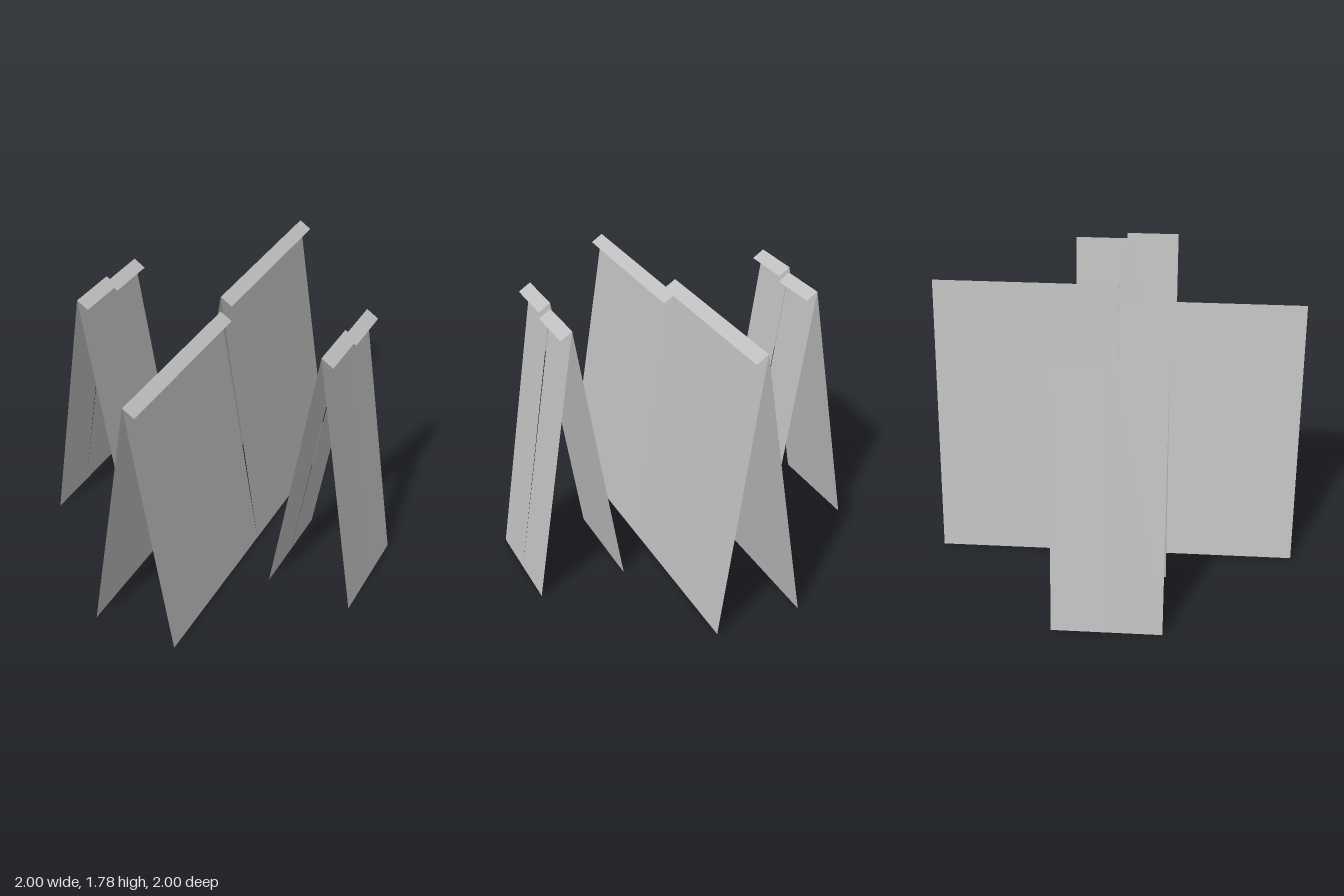
import * as THREE from 'three';

const HALF_SPREAD = 0.277; // foot distance from the ridge line
const FLAP_OUT = 0.073;
const FLAP_DROP = 0.047;

// Flat sheet spanning x0..x1 between an upper edge and a lower edge, each given as [y, z]
function sheet(name, material, x0, x1, [yTop, zTop], [yLow, zLow]) {
  const geometry = new THREE.BufferGeometry();
  geometry.setAttribute('position', new THREE.Float32BufferAttribute([
    x0, yLow, zLow, x1, yLow, zLow, x1, yTop, zTop, x0, yTop, zTop,
  ], 3));
  // Wind each sheet so that its front looks away from the ridge
  geometry.setIndex(zLow > zTop ? [0, 1, 2, 0, 2, 3] : [0, 2, 1, 0, 3, 2]);
  geometry.computeVertexNormals();
  const mesh = new THREE.Mesh(geometry, material);
  mesh.name = name;
  return mesh;
}

// One folded section: two leaning panels and a short flap hanging from the ridge
function foldedSection(name, material, x0, x1, height) {
  const section = new THREE.Group();
  section.name = name;
  const ridge = [height, 0];
  section.add(
    sheet('frontPanel', material, x0, x1, ridge, [0, HALF_SPREAD]),
    sheet('backPanel', material, x0, x1, ridge, [0, -HALF_SPREAD]),
    sheet('ridgeFlap', material, x0, x1, ridge, [height - FLAP_DROP, FLAP_OUT]),
  );
  return section;
}

// A board is made of two sections of unequal height, side by side
function foldedBoard(name, material, z, halfLength, leftHeight, rightHeight) {
  const board = new THREE.Group();
  board.name = name;
  board.position.z = z;
  board.add(
    foldedSection('leftSection', material, -halfLength, 0, leftHeight),
    foldedSection('rightSection', material, 0, halfLength, rightHeight),
  );
  return board;
}

export function createModel() {
  const grey = new THREE.MeshStandardMaterial({ color: 0xc0c0c0, side: THREE.DoubleSide });
  grey.name = 'lightGrey';

  // All boards run parallel, turned diagonally
  const boards = new THREE.Group();
  boards.name = 'boards';
  boards.rotation.y = Math.PI / 4;
  boards.add(
    foldedBoard('longBoard', grey, 0, 1.136, 1.685, 1.785),
    foldedBoard('frontShortBoard', grey, 0.803, 0.336, 1.785, 1.747),
    foldedBoard('rearShortBoard', grey, -0.803, 0.336, 1.717, 1.68),
  );

  const model = new THREE.Group();
  model.name = 'foldedBoards';
  model.add(boards);
  return model;
}
